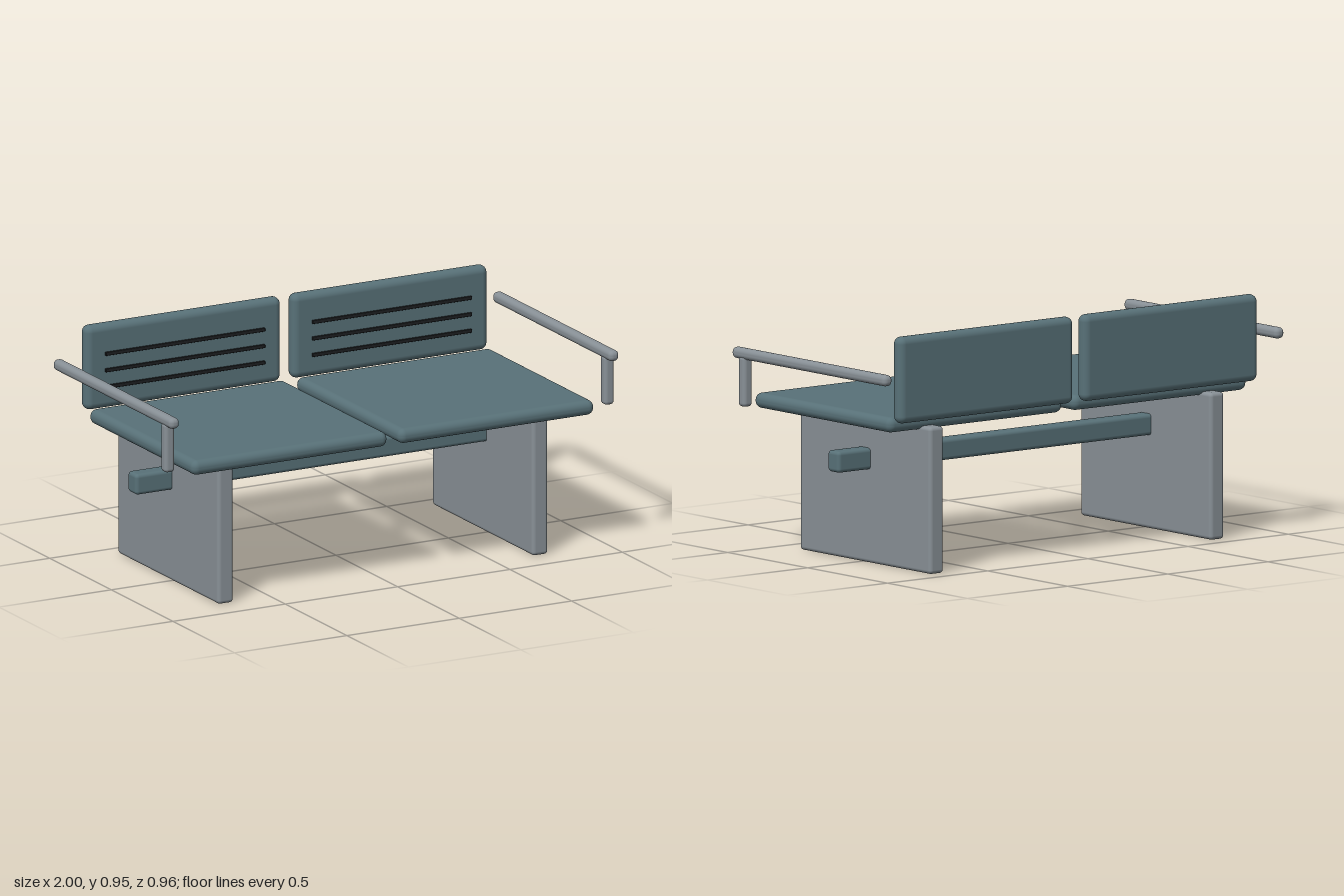
import * as THREE from 'three';
import { RoundedBoxGeometry } from 'three/addons/geometries/RoundedBoxGeometry.js';

const material = (name, color) => {
  const m = new THREE.MeshStandardMaterial({ color });
  m.name = name;
  return m;
};

export function createModel() {
  const model = new THREE.Group();
  model.name = 'bench';
  const teal = material('teal panel', 0x587178);
  const grey = material('grey metal', 0x889096);
  const black = material('black slot', 0x1c1e20);

  // Rounded block given by its size and centre
  const block = (name, mat, [w, h, d], [x, y, z], radius) => {
    const mesh = new THREE.Mesh(new RoundedBoxGeometry(w, h, d, 4, radius), mat);
    mesh.name = name;
    mesh.position.set(x, y, z);
    model.add(mesh);
  };

  // Cross beam through both legs
  block('crossBeam', teal, [1.79, 0.084, 0.072], [0, 0.412, -0.026], 0.015);

  for (const [side, s] of [['left', 1], ['right', -1]]) {
    // Seat and backrest
    block(side + 'Seat', teal, [0.87, 0.06, 0.856], [s * 0.46, 0.595, 0.047], 0.028);
    block(side + 'Backrest', teal, [0.87, 0.342, 0.06], [s * 0.46, 0.78, -0.421], 0.028);

    // Three dark slots on the backrest front
    for (const y of [0.7, 0.767, 0.834]) {
      block(side + 'BackrestSlot', black, [0.71, 0.015, 0.01], [s * 0.46, y, -0.385], 0.003);
    }

    // Slab leg
    block(side + 'Leg', grey, [0.07, 0.58, 0.82], [s * 0.7, 0.29, -0.025], 0.015);

    // Armrest bar and its front post
    block(side + 'ArmrestBar', grey, [0.044, 0.044, 0.962], [s * 0.978, 0.793, 0], 0.019);
    block(side + 'ArmrestPost', grey, [0.044, 0.2, 0.044], [s * 0.978, 0.685, 0.418], 0.015);
  }
  return model;
}
